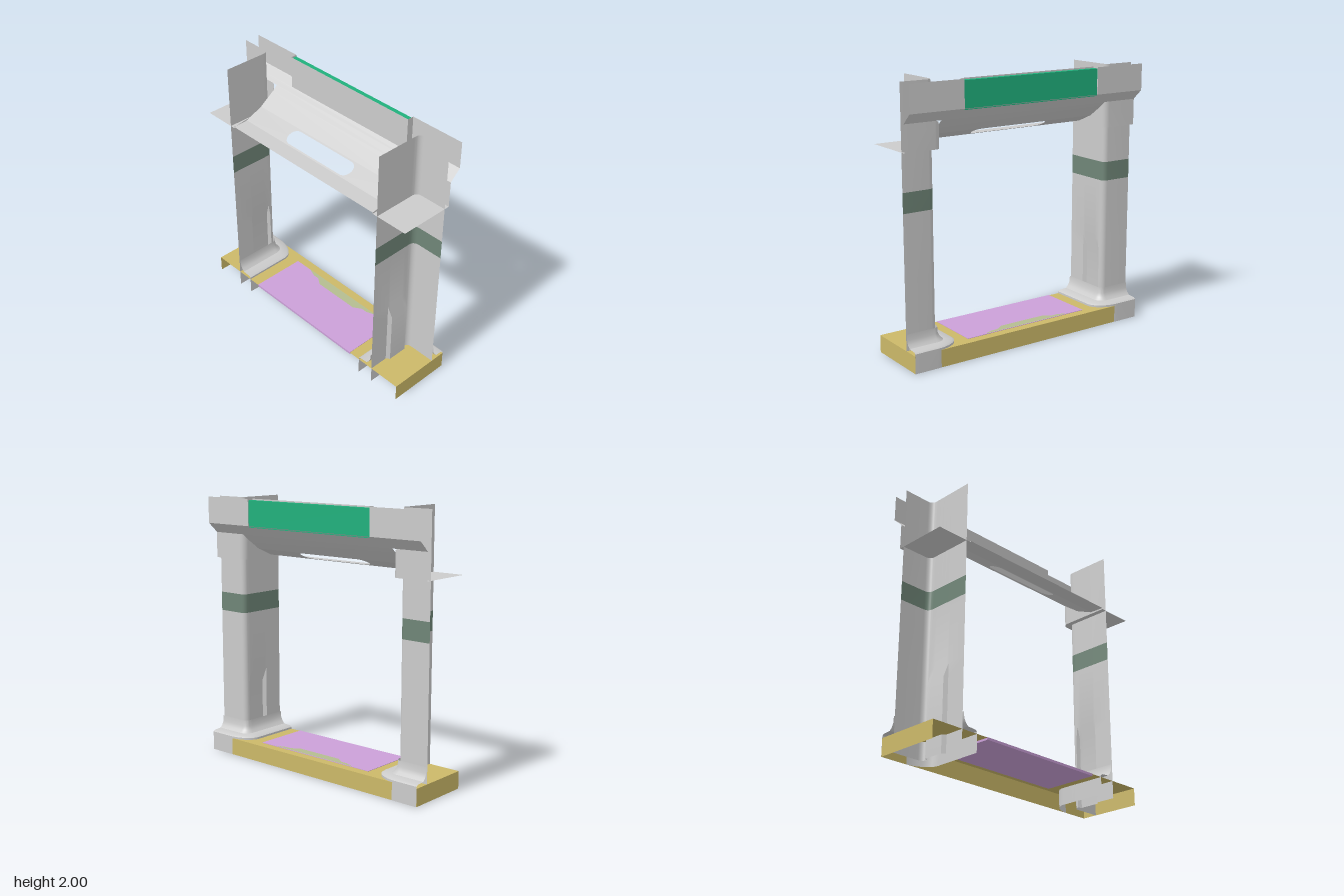
import * as THREE from 'three';
import { toCreasedNormals } from 'three/addons/utils/BufferGeometryUtils.js';

const paint = (color) => new THREE.MeshStandardMaterial({ color, side: THREE.DoubleSide });
const GREY = paint(0xcccccc), BAND = paint(0x6f8577), YELLOW = paint(0xcbb868);
const PURPLE = paint(0xcba0d8), GREEN = paint(0x20b07c), SAGE = paint(0xb4bc90);

// Open sheet through rows of [x, y, z] points
function loft(rows) {
  const n = rows[0].length, index = [];
  for (let j = 0; j < rows.length - 1; j++) {
    for (let i = 0; i < n - 1; i++) {
      const a = j * n + i, b = a + 1, c = a + n, d = c + 1;
      index.push(a, c, b, b, c, d);
    }
  }
  const g = new THREE.BufferGeometry();
  g.setAttribute('position', new THREE.Float32BufferAttribute(rows.flat(2), 3));
  g.setIndex(index);
  return toCreasedNormals(g, 0.6);
}

// L-shaped plan: inner side at x0, rounded corner, back at zb, ending at x = 1
function plan(x0, zb, rx = 0.04, rz = rx) {
  const pts = [];
  for (const z of [0.25, 0.1, 0.08, 0.04, 0, -0.04, -0.075]) pts.push([x0, z]);
  for (let i = 0; i <= 8; i++) {
    const a = (i / 8) * Math.PI / 2;
    pts.push([x0 + rx * (1 - Math.cos(a)), zb + rz * (1 - Math.sin(a))]);
  }
  pts.push([1, zb]);
  return pts;
}
const ring = (pts, y) => pts.map(([x, z]) => [x, y, z]);

// Height of the lintel underside at depth z
const PROFILE = [[0.25, 1.54], [0.13, 1.545], [-0.01, 1.605], [-0.13, 1.69], [-0.17, 1.725]];
function soffitY(z) {
  for (let i = 1; i < PROFILE.length; i++) {
    const [za, ya] = PROFILE[i - 1], [zb, yb] = PROFILE[i];
    if (z >= zb) return ya + (yb - ya) * (z - za) / (zb - za);
  }
  return 1.725;
}

export function createModel() {
  const model = new THREE.Group();
  const add = (parent, name, geometry, material = GREY) => {
    const mesh = new THREE.Mesh(geometry, material);
    mesh.name = name;
    parent.add(mesh);
    return mesh;
  };
  const box = (parent, name, [x0, x1], [y0, y1], [z0, z1], material) =>
    add(parent, name, new THREE.BoxGeometry(x1 - x0, y1 - y0, z1 - z0), material)
      .position.set((x0 + x1) / 2, (y0 + y1) / 2, (z0 + z1) / 2);

  // Columns, plinths and capitals, mirrored
  for (const side of [1, -1]) {
    const post = new THREE.Group();
    post.name = side > 0 ? 'leftPost' : 'rightPost';
    post.scale.x = side;
    model.add(post);

    const col = plan(0.75, -0.13);
    const dent = col.map(([x, z]) => [x === 0.75 && z < 0.09 && z > -0.08 ? 0.775 : x, z]);
    add(post, 'columnLower', loft([ring(dent, 0), ring(dent, 0.54), ring(col, 0.64), ring(col, 1.11)]));
    add(post, 'columnBand', loft([ring(col, 1.11), ring(col, 1.255)]), BAND);
    add(post, 'columnUpper', loft([ring(col, 1.255), ring(col, 2)]));

    const foot = plan(0.62, -0.25, 0.2, 0.13);
    add(post, 'plinth', loft([
      ring(foot, 0), ring(foot, 0.145),
      ring(plan(0.635, -0.237, 0.18, 0.12), 0.155),
      ring(plan(0.7, -0.175, 0.07), 0.16),
      ring(plan(0.72, -0.155, 0.055), 0.18),
      ring(plan(0.735, -0.142), 0.21),
      ring(plan(0.738, -0.14), 0.255),
    ]));

    // Collar under the lintel and its flat plate
    const collar = plan(0.71, -0.17, 0.05);
    add(post, 'capital', loft([ring(collar, 1.53), collar.map(([x, z]) => [x, soffitY(z), z])]));
    add(post, 'capitalPlate', loft([ring(collar, 1.53), collar.map(([, z]) => [1, 1.53, z])]));

    // Thick end of the lintel face
    add(post, 'lintelEnd', loft([
      [[0.575, 1.77, -0.2], [0.575, 1.8, -0.25], [1, 1.8, -0.25]],
      [[0.575, 2, -0.2], [0.575, 2, -0.25], [1, 2, -0.25]],
    ]));
  }

  // Lintel underside, with a rounded slot in its sloping strip
  const strip = (name, w, pts) =>
    add(model, name, loft(pts.map(([z, y]) => [[-w, y, z], [w, y, z]])));
  strip('lintelFrontLip', 0.71, PROFILE.slice(0, 2));
  strip('lintelRearSlope', 0.71, PROFILE.slice(2));
  strip('lintelFlare', 1, [[-0.17, 1.725], [-0.2, 1.755], [-0.25, 1.8]]);

  const panel = new THREE.Shape([[-0.71, -0.01], [0.71, -0.01], [0.71, 0.13], [-0.71, 0.13]]
    .map(([x, z]) => new THREE.Vector2(x, z)));
  const slot = new THREE.Path();
  slot.absarc(0.26, 0.06, 0.058, -Math.PI / 2, Math.PI / 2);
  slot.absarc(-0.26, 0.06, 0.058, Math.PI / 2, Math.PI * 1.5);
  panel.holes.push(slot);
  const slotted = new THREE.ShapeGeometry(panel, 10);
  const p = slotted.attributes.position;
  for (let i = 0; i < p.count; i++) p.setXYZ(i, p.getX(i), soffitY(p.getY(i)), p.getY(i));
  slotted.computeVertexNormals();
  add(model, 'lintelSlotPanel', slotted);

  // Lintel centre: inner wall and coloured outer panel
  add(model, 'lintelInnerWall', loft([
    [[-0.575, 1.755, -0.2], [0.575, 1.755, -0.2]],
    [[-0.575, 2, -0.2], [0.575, 2, -0.2]],
  ]));
  box(model, 'lintelPanel', [-0.573, 0.573], [1.79, 1.99], [-0.245, -0.202], GREEN);

  // Threshold: open underneath and at the front
  add(model, 'thresholdTop', loft([
    [[-1, 0.13, 0.25], [1, 0.13, 0.25]],
    [[-1, 0.13, -0.249], [1, 0.13, -0.249]],
  ]), YELLOW);
  add(model, 'thresholdBack', loft([
    [[-1, 0, -0.248], [1, 0, -0.248]],
    [[-1, 0.13, -0.248], [1, 0.13, -0.248]],
  ]), YELLOW);
  for (const x of [-1, 1]) {
    add(model, 'thresholdEnd', loft([
      [[x, 0, 0.25], [x, 0, -0.249]],
      [[x, 0.13, 0.25], [x, 0.13, -0.249]],
    ]), YELLOW);
  }

  // Floor mat with a shaped strip at its back edge
  box(model, 'floorMat', [-0.525, 0.525], [0.115, 0.133], [-0.18, 0.25], PURPLE);
  const trim = new THREE.Shape([[-0.38, 0.18], [-0.3, 0.15], [-0.25, 0.15], [-0.19, 0.11],
    [0.19, 0.11], [0.25, 0.15], [0.3, 0.15], [0.38, 0.18]].map(([x, y]) => new THREE.Vector2(x, y)));
  const trimMesh = add(model, 'matTrim', new THREE.ShapeGeometry(trim), SAGE);
  trimMesh.rotation.x = -Math.PI / 2;
  trimMesh.position.y = 0.136;

  return model;
}
